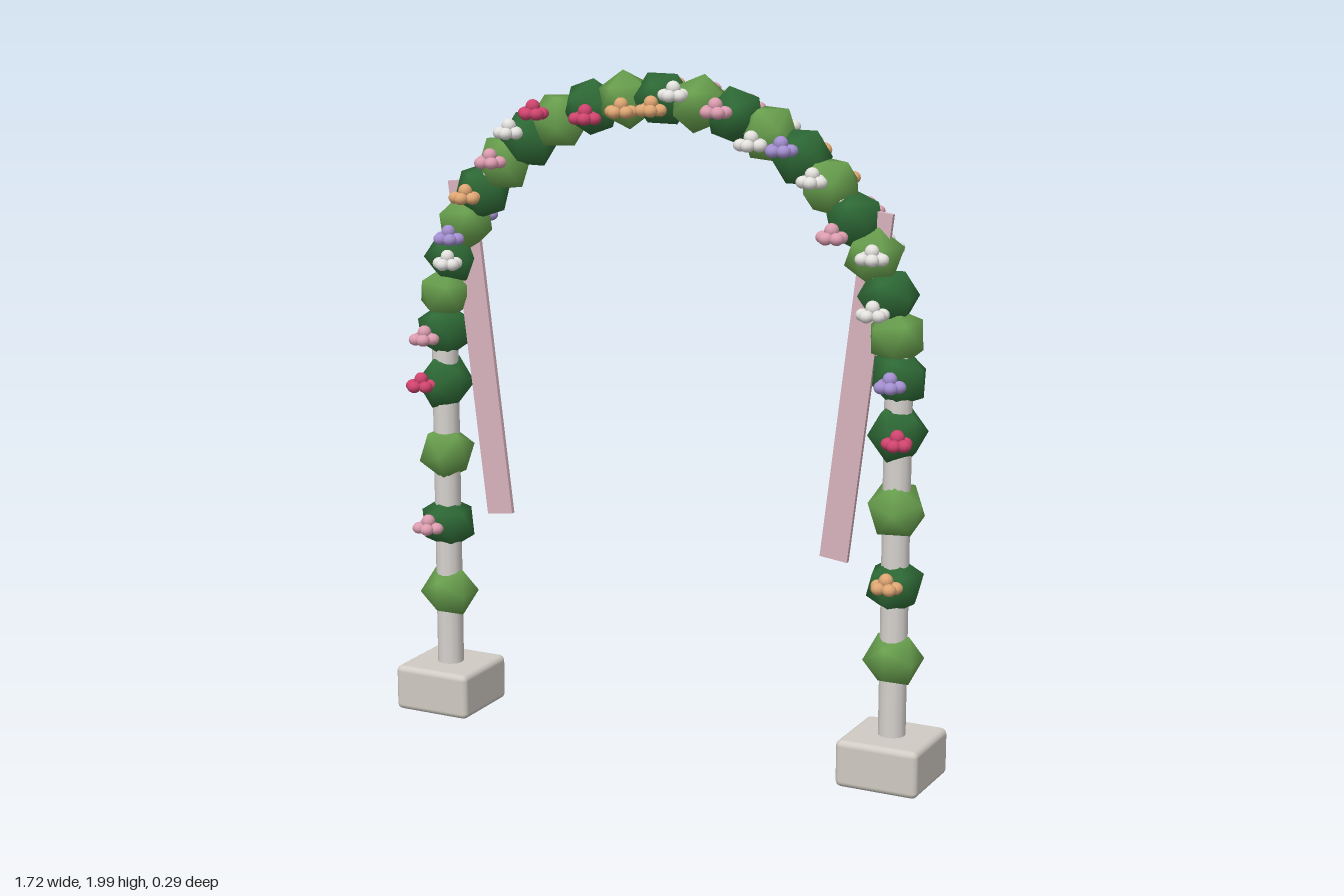
import * as THREE from 'three';
import { mergeVertices } from 'three/addons/utils/BufferGeometryUtils.js';
import { RoundedBoxGeometry } from 'three/addons/geometries/RoundedBoxGeometry.js';

const mat = (name, color) => {
  const m = new THREE.MeshStandardMaterial({ color });
  m.name = name;
  return m;
};

const RADIUS = 0.735;   // half span of the arch
const SPRING = 1.19;    // height where the posts meet the curve
const STEP = Math.PI / 20;

export function createModel() {
  const model = new THREE.Group();
  model.name = 'flowerArch';

  const stone = mat('stone', 0xd0cbc3);
  const frame = mat('framePaint', 0xd6d2ce);
  const ribbonPink = mat('ribbonPink', 0xd9b3bd);
  const darkLeaf = mat('darkLeaf', 0x2f6b37);
  const lightLeaf = mat('lightLeaf', 0x69a04e);
  const petal = {
    w: mat('whitePetal', 0xe4e2de),
    m: mat('magentaPetal', 0xd0446e),
    v: mat('violetPetal', 0xa48fd0),
    o: mat('apricotPetal', 0xdfa673),
    p: mat('pinkPetal', 0xdc9db0),
  };

  const add = (name, geometry, material, x, y, z, parent = model) => {
    const mesh = new THREE.Mesh(geometry, material);
    mesh.name = name;
    mesh.position.set(x, y, z);
    parent.add(mesh);
    return mesh;
  };

  // Smooth-shaded low-poly ball for the foliage
  const leafGeo = (() => {
    const g = new THREE.IcosahedronGeometry(0.092, 0);
    g.deleteAttribute('normal');
    g.deleteAttribute('uv');
    const merged = mergeVertices(g, 1e-4);
    merged.computeVertexNormals();
    return merged;
  })();
  const addLeaf = (x, y, material, rx, ry, rz) => {
    const leaf = add('foliage', leafGeo, material, x, y, 0);
    leaf.rotation.set(rx, ry, rz);
    leaf.scale.set(0.97, 0.91, 0.97);
  };

  // Stone feet, posts, ribbons and foliage up each post
  const footGeo = new RoundedBoxGeometry(0.25, 0.14, 0.25, 3, 0.018);
  const postGeo = new THREE.CylinderGeometry(0.04, 0.04, SPRING - 0.13, 12);
  const ribbonGeo = new THREE.BoxGeometry(0.085, 1.015, 0.014);
  for (const s of [-1, 1]) {
    const side = s > 0 ? 'left' : 'right';
    add(side + 'Foot', footGeo, stone, s * RADIUS, 0.075, 0);
    add(side + 'Post', postGeo, frame, s * RADIUS, (SPRING + 0.13) / 2, 0);
    add(side + 'Ribbon', ribbonGeo, ribbonPink, s * 0.608, 1.145, 0).rotation.z = -s * 0.119;
    for (let i = 0; i < 4; i++) {
      addLeaf(s * RADIUS, 0.37 + i * 0.22, i % 2 ? darkLeaf : lightLeaf, 0, i * 0.9, s * i * 0.5);
    }
  }

  // Curved top of the frame
  const archGeo = new THREE.TorusGeometry(RADIUS, 0.04, 10, 48, Math.PI);
  add('archFrame', archGeo, frame, 0, SPRING, 0);

  // Foliage alternating along the curve
  for (let i = -10; i <= 10; i++) {
    const a = i * STEP;
    addLeaf(RADIUS * Math.sin(a), SPRING + RADIUS * Math.cos(a),
      i % 2 ? lightLeaf : darkLeaf, 0, i * 0.4, -a + i * 0.55);
  }

  // A flower is a flat ring of round petals with one raised in the middle
  const petalGeo = new THREE.SphereGeometry(0.021, 10, 8);
  const addFlower = (x, y, z, key, turn) => {
    const flower = new THREE.Group();
    flower.name = 'flower';
    flower.position.set(x, y, z);
    flower.rotation.y = turn;
    for (let i = 0; i < 5; i++) {
      const a = (i / 5) * Math.PI * 2;
      add('petal', petalGeo, petal[key], 0.029 * Math.cos(a), -0.008, 0.025 * Math.sin(a), flower)
        .scale.y = 0.85;
    }
    add('petalCentre', petalGeo, petal[key], 0, 0.012, 0, flower);
    model.add(flower);
  };

  // Front flowers, up the right post, over the curve and down the left post
  const front = [
    ['p', -0.75, 0.6], ['m', -0.765, 1.04], ['p', -0.75, 1.185], ['w', -0.665, 1.42],
    ['v', -0.66, 1.495], ['o', -0.6, 1.62], ['p', -0.515, 1.73], ['w', -0.45, 1.82],
    ['m', -0.37, 1.88], ['m', -0.2, 1.875], ['o', -0.085, 1.9], ['o', 0.01, 1.91],
    ['w', 0.08, 1.955], ['p', 0.21, 1.915], ['w', 0.32, 1.83], ['v', 0.41, 1.82],
    ['w', 0.505, 1.74], ['p', 0.565, 1.59], ['w', 0.685, 1.54], ['w', 0.69, 1.385],
    ['v', 0.745, 1.19], ['m', 0.77, 1.03], ['o', 0.745, 0.615],
  ];
  front.forEach(([key, x, y], i) => addFlower(x, y, 0.092, key, i * 0.7));

  // Back flowers, one per foliage clump on the curve
  [...'vwmoppwoppwoopw'].forEach((key, n) => {
    const a = (n - 7) * STEP;
    addFlower(RADIUS * Math.sin(a), SPRING + 0.018 + RADIUS * Math.cos(a), -0.1, key, n * 0.9);
  });

  return model;
}
